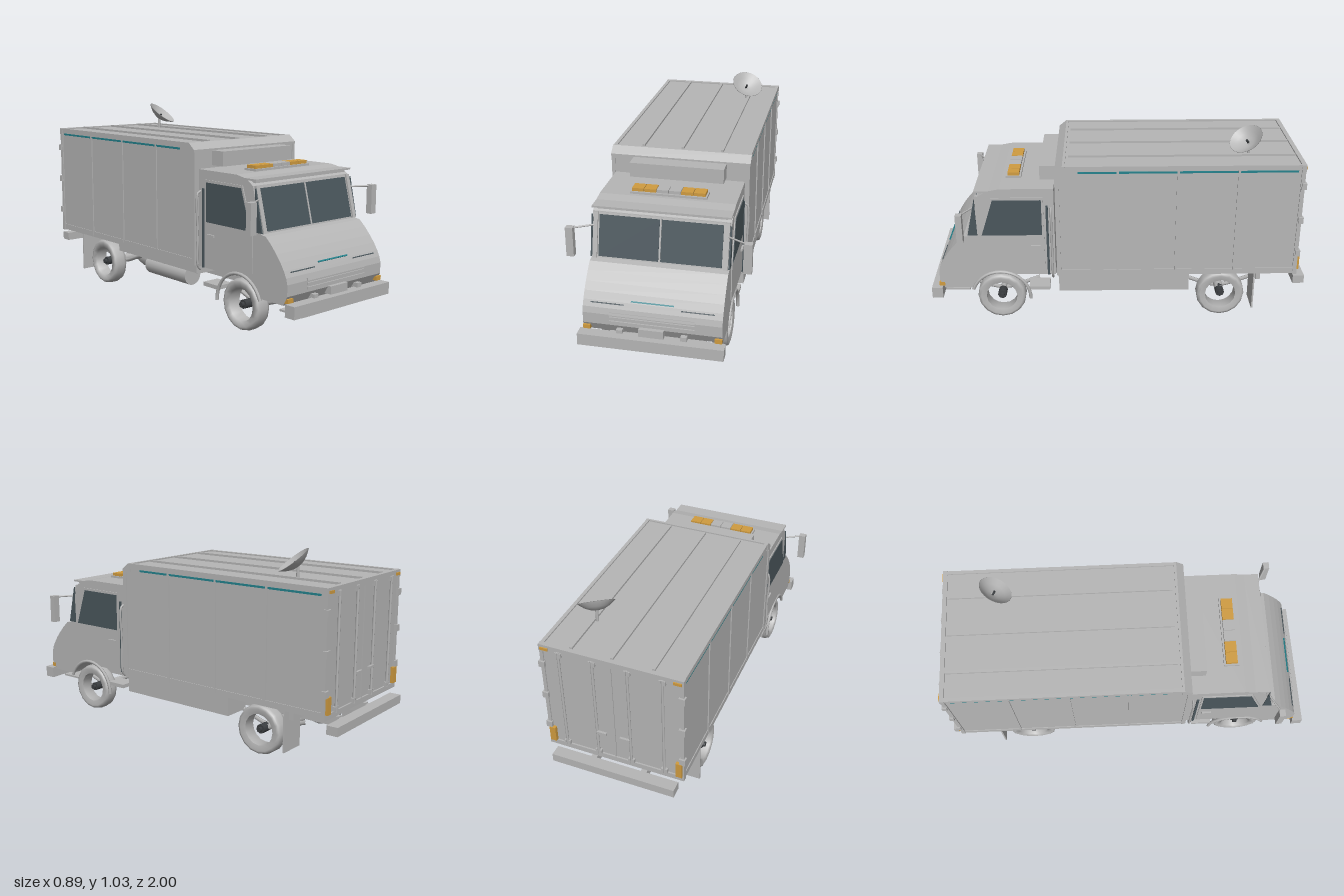
import * as THREE from 'three';

const material = (name, color) => Object.assign(new THREE.MeshStandardMaterial({ color }), { name });

export function createModel() {
  const grey = material('body grey', 0xb6b6b6);
  const glass = material('dark glass', 0x4a565c);
  const amber = material('amber lens', 0xd09c40);
  const teal = material('teal stripe', 0x24828c);
  const dark = material('dark hub', 0x3c3f42);

  const model = new THREE.Group();
  model.name = 'boxTruck';
  const V = (x, y, z) => new THREE.Vector3(x, y, z);

  function add(name, geometry, mat, x = 0, y = 0, z = 0) {
    const mesh = new THREE.Mesh(geometry, mat);
    mesh.name = name;
    mesh.position.set(x, y, z);
    model.add(mesh);
    return mesh;
  }
  // box given by its limits on each axis
  function box(name, mat, x0, x1, y0, y1, z0, z1) {
    return add(name, new THREE.BoxGeometry(Math.abs(x1 - x0), y1 - y0, z1 - z0), mat,
      (x0 + x1) / 2, (y0 + y1) / 2, (z0 + z1) / 2);
  }
  // side profile of [z, y] points, extruded across x
  function profile(name, mat, shape, width, x = 0) {
    const s = Array.isArray(shape) ? new THREE.Shape(shape.map(p => new THREE.Vector2(...p))) : shape;
    const g = new THREE.ExtrudeGeometry(s, { depth: width, bevelEnabled: false, curveSegments: 10 });
    return add(name, g.rotateY(-Math.PI / 2).translate(width / 2, 0, 0), mat, x);
  }
  // straight round bar between two points
  function rod(name, mat, a, b, r, sides = 8) {
    const mesh = add(name, new THREE.CylinderGeometry(r, r, a.distanceTo(b), sides), mat);
    mesh.position.lerpVectors(a, b, 0.5);
    mesh.quaternion.setFromUnitVectors(V(0, 1, 0), b.clone().sub(a).normalize());
    return mesh;
  }
  const mirrored = fn => [-1, 1].forEach(fn);

  // Cab shell with wheel arch
  const front = [[0.60, 0.767], [0.665, 0.755], [0.712, 0.725], [0.768, 0.505], [0.80, 0.50], [0.835, 0.467],
    [0.868, 0.43], [0.895, 0.395], [0.917, 0.36], [0.932, 0.33], [0.94, 0.30], [0.94, 0.245], [0.915, 0.20]];
  const cab = new THREE.Shape();
  cab.moveTo(0.325, 0.767);
  front.forEach(p => cab.lineTo(...p));
  cab.lineTo(0.765, 0.20);
  cab.absarc(0.62, 0.135, 0.158, Math.atan2(0.065, 0.145), Math.PI - 1.1, false);
  cab.lineTo(0.325, 0.275);
  profile('cab', grey, cab, 0.67);

  // Plate lying on the sloped cab front at height y
  function frontPlate(name, mat, x, y, w, h, t = 0.008) {
    const i = front.findIndex((p, k) => k > 1 && p[1] <= y && front[k - 1][1] >= y);
    const [z0, y0] = front[i - 1], [z1, y1] = front[i];
    const z = z0 + (z1 - z0) * (y - y0) / (y1 - y0);
    add(name, new THREE.BoxGeometry(w, h, t), mat, x, y, z).rotation.x = Math.atan2(z0 - z1, y0 - y1);
  }
  frontPlate('windscreenFrame', grey, 0, 0.614, 0.64, 0.222, 0.012);
  mirrored(s => {
    frontPlate('windscreen', glass, s * 0.152, 0.612, 0.294, 0.204, 0.019);
    frontPlate('frontPillar', grey, s * 0.317, 0.614, 0.022, 0.224, 0.03);
    frontPlate('headlightSlot', glass, s * 0.217, 0.35, 0.16, 0.005);
    frontPlate('indicator', amber, s * 0.317, 0.247, 0.001, 0.001);
    box('frontIndicator', amber, s * 0.30, s * 0.335, 0.212, 0.234, 0.915, 0.945);
    box('towHook', grey, s * 0.14, s * 0.17, 0.20, 0.23, 0.90, 0.955);
  });
  frontPlate('windscreenDivider', grey, 0, 0.614, 0.008, 0.21, 0.024);
  frontPlate('noseStripe', teal, 0, 0.367, 0.206, 0.007, 0.012);
  [0.305, 0.285, 0.264].forEach(y => frontPlate('grilleBar', grey, 0, y, 0.41, 0.012, 0.014));
  box('numberPlate', grey, -0.06, 0.06, 0.21, 0.25, 0.90, 0.96);
  box('sunVisor', grey, -0.335, 0.335, 0.748, 0.757, 0.65, 0.73);
  box('headerRail', grey, -0.315, 0.315, 0.736, 0.744, 0.66, 0.71);

  // Front bumper, slightly askew
  const bumper = box('frontBumper', grey, -0.35, 0.35, 0.15, 0.21, 0.935, 0.992);
  bumper.rotation.set(0, 0.02, -0.013);
  box('bumperBracket', grey, -0.24, 0.24, 0.13, 0.14, 0.80, 0.95);

  mirrored(s => {
    // Doors, side glass, handles and quarter lights
    profile('door', grey, [[0.38, 0.30], [0.545, 0.30], [0.715, 0.31], [0.715, 0.505], [0.645, 0.72], [0.38, 0.72]], 0.008, s * 0.336);
    profile('sideWindow', glass, [[0.39, 0.51], [0.702, 0.51], [0.638, 0.707], [0.39, 0.707]], 0.009, s * 0.338);
    profile('quarterLight', glass, [[0.725, 0.51], [0.775, 0.51], [0.73, 0.715]], 0.008, s * 0.334);
    box('doorHandle', grey, s * 0.335, s * 0.35, 0.44, 0.452, 0.40, 0.45);
    box('rearCabSeal', glass, s * 0.33, s * 0.342, 0.275, 0.675, 0.356, 0.368);
    // Wheel arch trim
    const arch = add('wheelArch', new THREE.TorusGeometry(0.156, 0.009, 6, 16, Math.PI * 0.9), grey, s * 0.335, 0.135, 0.62);
    arch.rotation.y = -Math.PI / 2;
    arch.rotation.order = 'YXZ';
    arch.rotation.z = 0.35;
    box('cabStep', grey, s * 0.24, s * 0.335, 0.18, 0.20, 0.36, 0.47);
    // Upright grab pipe behind the cab
    const bend = new THREE.CatmullRomCurve3([V(s * 0.335, 0.66, 0.34), V(s * 0.354, 0.65, 0.34),
      V(s * 0.356, 0.45, 0.34), V(s * 0.354, 0.28, 0.34), V(s * 0.335, 0.26, 0.34)]);
    add('grabPipe', new THREE.TubeGeometry(bend, 20, 0.006, 6), grey);
    // Mirror
    box('mirror', grey, s * 0.408, s * 0.445, 0.52, 0.67, 0.782, 0.814);
    rod('mirrorArm', grey, V(s * 0.325, 0.663, 0.74), V(s * 0.42, 0.663, 0.795), 0.005, 6);
  });

  // Roof beacon bar
  box('beaconBase', grey, -0.19, 0.19, 0.765, 0.778, 0.50, 0.58);
  for (let i = 0; i < 6; i++) {
    const x = -0.152 + i * 0.061;
    box('beacon', i === 2 || i === 3 ? grey : amber, x - 0.029, x + 0.029, 0.778, 0.794, 0.51, 0.57);
  }

  // Cargo box
  profile('cargoBox', grey, [[-0.94, 0.278], [0.314, 0.278], [0.314, 0.855], [0.275, 0.888], [-0.94, 0.888]], 0.704);
  box('coolingUnit', grey, -0.24, 0.24, 0.778, 0.853, 0.31, 0.40);
  [-0.205, 0, 0.205].forEach(x => box('roofRib', grey, x - 0.007, x + 0.007, 0.885, 0.899, -0.92, 0.25));
  box('rearHeader', grey, -0.36, 0.36, 0.86, 0.895, -0.948, -0.925);
  box('rearSill', grey, -0.358, 0.358, 0.272, 0.30, -0.948, -0.925);
  profile('frontRoofRail', grey, [[0.318, 0.85], [0.318, 0.862], [0.278, 0.895], [0.265, 0.895], [0.265, 0.85]], 0.72);
  mirrored(s => {
    box('roofRail', grey, s * 0.34, s * 0.358, 0.868, 0.895, -0.94, 0.27);
    box('lowerRail', grey, s * 0.34, s * 0.356, 0.278, 0.31, -0.94, 0.31);
    box('frontPost', grey, s * 0.34, s * 0.358, 0.278, 0.86, 0.296, 0.318);
    box('rearPost', grey, s * 0.34, s * 0.358, 0.278, 0.89, -0.946, -0.925);
    [0, -0.305, -0.612].forEach(z => box('sideRib', grey, s * 0.345, s * 0.358, 0.285, 0.87, z - 0.006, z + 0.006));
    box('sideStripe', teal, s * 0.35, s * 0.355, 0.855, 0.865, -0.91, 0.20);
    // Rear doors: lock rods, handles, hinges and lamps
    [0.087, 0.258].forEach(x => {
      rod('lockRod', grey, V(s * x, 0.295, -0.95), V(s * x, 0.875, -0.95), 0.007);
      [0.31, 0.86].forEach(y => box('rodBracket', grey, s * x - 0.016, s * x + 0.016, y - 0.012, y + 0.012, -0.955, -0.938));
    });
    box('lockHandle', grey, s * 0.035, s * 0.087, 0.44, 0.452, -0.962, -0.95);
    [0.40, 0.59, 0.78].forEach(y => box('hinge', grey, s * 0.335, s * 0.366, y - 0.017, y + 0.017, -0.955, -0.93));
    box('tailLamp', amber, s * 0.318, s * 0.35, 0.30, 0.385, -0.958, -0.94);
    box('markerLamp', amber, s * 0.31, s * 0.35, 0.868, 0.882, -0.954, -0.94);
  });
  box('doorSeam', grey, -0.005, 0.005, 0.30, 0.86, -0.945, -0.938);

  // Satellite dish
  const facing = V(0.35, 0.79, 0.5).normalize();
  const bowl = [[0, 0], [0.03, 0.004], [0.06, 0.017], [0.09, 0.04], [0.088, 0.042], [0.06, 0.021], [0.03, 0.008], [0, 0.004]];
  const dish = add('dish', new THREE.LatheGeometry(bowl.map(p => new THREE.Vector2(...p)), 24), grey, 0.186, 0.948, -0.68);
  dish.quaternion.setFromUnitVectors(V(0, 1, 0), facing);
  rod('dishFeed', dark, dish.position.clone(), dish.position.clone().addScaledVector(facing, 0.03), 0.006);
  rod('dishMast', grey, V(0.19, 0.885, -0.68), V(0.19, 0.955, -0.68), 0.008);

  // Chassis frame
  mirrored(s => {
    box('frameRail', grey, s * 0.12, s * 0.15, 0.18, 0.232, -0.905, 0.90);
    [0.62, -0.555].forEach(z => {
      const spring = new THREE.CatmullRomCurve3([V(s * 0.2, 0.185, z - 0.2), V(s * 0.2, 0.125, z), V(s * 0.2, 0.185, z + 0.2)]);
      add('leafSpring', new THREE.TubeGeometry(spring, 12, 0.011, 5), grey);
    });
    box('mudflap', grey, s * 0.215, s * 0.355, 0.065, 0.278, -0.729, -0.721);
    box('bumperStay', grey, s * 0.12, s * 0.15, 0.20, 0.225, -0.96, -0.89);
  });
  [0.4, 0.03, -0.3, -0.75].forEach(z => {
    box('crossMember', grey, -0.13, 0.13, 0.188, 0.225, z - 0.015, z + 0.015);
    box('floorBearer', grey, -0.33, 0.33, 0.23, 0.28, Math.min(z, 0.3) - 0.012, Math.min(z, 0.3) + 0.012);
  });
  box('rearBumper', grey, -0.325, 0.325, 0.2, 0.245, -1.0, -0.94);
  box('sideLocker', grey, 0.19, 0.34, 0.175, 0.28, -0.38, 0.31);
  box('sideSkirt', grey, -0.34, -0.33, 0.235, 0.28, -0.37, 0.31);
  rod('fuelTank', grey, V(-0.26, 0.187, -0.16), V(-0.26, 0.187, 0.185), 0.053, 20);
  box('tankStrap', grey, -0.268, -0.252, 0.20, 0.28, 0.02, 0.035);

  // Axles, drive shaft and differential
  rod('frontAxle', grey, V(-0.27, 0.135, 0.62), V(0.27, 0.135, 0.62), 0.016);
  rod('rearAxle', grey, V(-0.27, 0.135, -0.555), V(0.27, 0.135, -0.555), 0.024);
  rod('driveShaft', grey, V(0, 0.18, 0.30), V(0, 0.13, -0.5), 0.014);
  add('differential', new THREE.SphereGeometry(0.068, 8, 6), grey, 0, 0.126, -0.555);
  box('gearbox', grey, -0.06, 0.06, 0.15, 0.25, 0.28, 0.5);

  // Wheels: open tyre rings on dark hubs
  const tyre = [[0.082, -0.034], [0.11, -0.041], [0.123, -0.036], [0.129, -0.02], [0.129, 0.02],
    [0.123, 0.036], [0.11, 0.041], [0.082, 0.034], [0.082, -0.034]].map(p => new THREE.Vector2(...p));
  [0.62, -0.555].forEach(z => mirrored(s => {
    add('tyre', new THREE.LatheGeometry(tyre, 16), grey, s * 0.286, 0.135, z).rotation.z = Math.PI / 2;
    rod('hub', dark, V(s * 0.25, 0.135, z), V(s * 0.305, 0.135, z), 0.024, 8);
    rod('hubCap', dark, V(s * 0.30, 0.135, z), V(s * 0.32, 0.135, z), 0.013, 8);
  }));

  return model;
}
